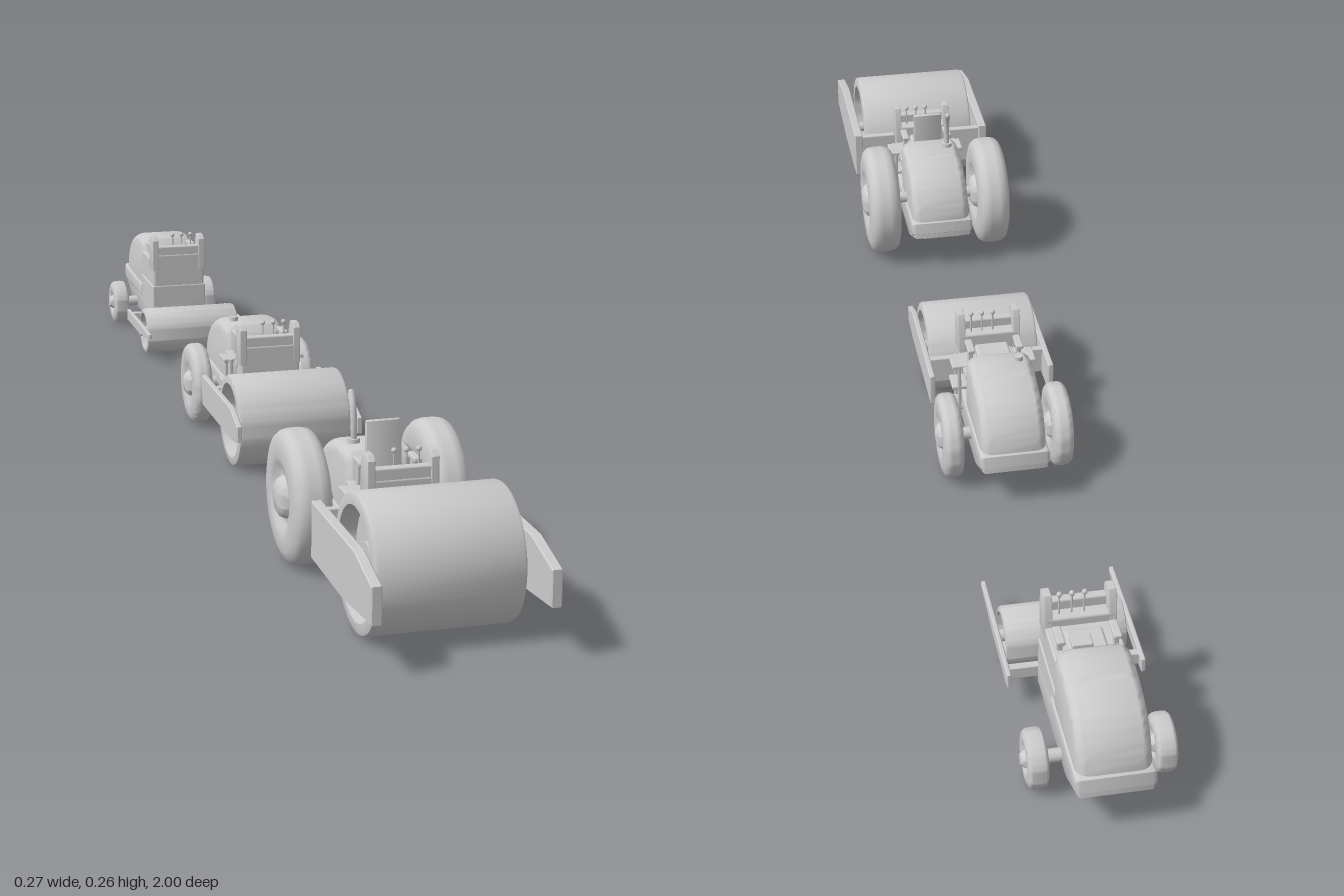
import * as THREE from 'three';
import { toCreasedNormals } from 'three/addons/utils/BufferGeometryUtils.js';
import { RoundedBoxGeometry } from 'three/addons/geometries/RoundedBoxGeometry.js';

const mat = new THREE.MeshStandardMaterial({ color: 0xcccccc, roughness: 0.7 });

function add(parent, name, geo, x = 0, y = 0, z = 0) {
  const m = new THREE.Mesh(geo, mat);
  m.name = name;
  m.position.set(x, y, z);
  parent.add(m);
  return m;
}

// Box given by its limits on each axis, with slightly softened edges
function block(parent, name, [x0, x1], [y0, y1], [z0, z1], r = 0.002) {
  const s = [x1 - x0, y1 - y0, z1 - z0];
  const geo = new RoundedBoxGeometry(...s, 2, Math.min(r, Math.min(...s) * 0.45));
  return add(parent, name, geo, (x0 + x1) / 2, (y0 + y1) / 2, (z0 + z1) / 2);
}

// Side profile in (z, y) extruded across x, centred, with a rounded bevel
function sideExtrude(points, width, bevel, segs = 2, smooth = false) {
  const shape = new THREE.Shape();
  shape.moveTo(...points[0]);
  if (smooth) {
    shape.lineTo(...points[1]);
    shape.splineThru(points.slice(2).map(p => new THREE.Vector2(...p)));
  } else points.slice(1).forEach(p => shape.lineTo(...p));
  shape.closePath();
  const geo = new THREE.ExtrudeGeometry(shape, {
    depth: width - 2 * bevel, bevelEnabled: true, bevelSize: bevel, bevelThickness: bevel,
    bevelOffset: -bevel, bevelSegments: segs, curveSegments: 5,
  });
  geo.translate(0, 0, -(width - 2 * bevel) / 2).rotateY(-Math.PI / 2);
  return toCreasedNormals(geo, 0.7);
}

// Profile of [radius, x] pairs turned around the x axis
function turned(points, segs = 56) {
  const geo = new THREE.LatheGeometry(points.map(p => new THREE.Vector2(...p)), segs);
  return toCreasedNormals(geo.rotateZ(-Math.PI / 2), 0.75);
}

// Drum with recessed ends
function drumGeometry(r, half) {
  const side = [[0, half - 0.025], [r * 0.78, half - 0.025], [r * 0.82, half],
    [r - 0.005, half], [r - 0.0015, half - 0.0015], [r, half - 0.005]];
  return turned([...side.map(([a, b]) => [a, -b]), ...side.reverse()]);
}

// Tyre with rounded shoulders, dished rim and bulging hub
function tyreGeometry(r, w) {
  const h = w / 2;
  const side = [[0, h + 0.006], [r * 0.2, h + 0.005], [r * 0.28, h], [r * 0.32, h * 0.72],
    [r * 0.42, h * 0.72], [r * 0.5, h * 0.94], [r * 0.6, h], [r * 0.8, h * 0.97],
    [r * 0.92, h * 0.84], [r * 0.98, h * 0.6], [r, h * 0.25]];
  return turned([...side.map(([a, b]) => [a, -b]), ...side.reverse()]);
}

// Drum, its yoke and axle
function drumUnit(g, c) {
  add(g, 'drum', drumGeometry(c.drum.r, c.drum.half), 0, c.drum.y, c.drum.z);
  const axle = new THREE.CylinderGeometry(0.009, 0.009, c.arm.x * 2, 20).rotateZ(Math.PI / 2);
  add(g, 'drumAxle', axle, 0, c.drum.y, c.drum.z);
  for (const s of [-1, 1]) {
    add(g, 'yokeArm', sideExtrude(c.arm.profile, c.arm.w, 0.0015, 1), s * c.arm.x, 0, 0);
    const cap = new THREE.CylinderGeometry(c.drum.r * 0.3, c.drum.r * 0.3, 0.012, 24);
    add(g, 'drumBearing', cap.rotateZ(Math.PI / 2), s * (c.drum.half - 0.02), c.drum.y, c.drum.z);
  }
  block(g, 'yokeCrossbar', [-c.arm.x, c.arm.x], c.arm.cross, [-0.004, 0.008]);
}

// Chassis, engine hood and bumper tray
function body(g, c) {
  add(g, 'chassis', sideExtrude(
    [[0, 0.03], [0, 0.07], [-0.274, 0.094], [-0.276, 0.066], [-0.2, 0.03]], 0.106, 0.004));
  add(g, 'bumperTray', sideExtrude(
    [[-0.1, 0.066], [-0.1, 0.092], [-0.274, 0.096], [-0.277, 0.076], [-0.262, 0.064]], 0.112, 0.005, 3));
  add(g, 'hood', sideExtrude([[-0.1, 0.06], [-0.1, 0.17], [-0.112, 0.181], [-0.145, 0.184],
    [-0.19, 0.177], [-0.232, 0.158], [-0.259, 0.125], [-0.269, 0.09], [-0.268, 0.06]], 0.106, 0.02, 5, true));
}

// Control panel, seat and levers
function cockpit(g, c) {
  block(g, 'controlPanel', [-0.05, 0.05], [0.06, 0.172], [-0.036, -0.001], 0.004);
  block(g, 'dashboard', [-0.044, 0.044], [0.165, 0.188], [-0.016, -0.002], 0.003);
  for (const s of [-1, 1]) {
    add(g, 'panelCheek', sideExtrude([[0, 0.14], [0, 0.2], [-0.008, 0.207], [-0.026, 0.207],
      [-0.034, 0.19], [-0.038, 0.14]], 0.012, 0.002), s * 0.046, 0, 0);
    block(g, 'armrest', [s * 0.04 - 0.006, s * 0.04 + 0.006], [0.173, 0.18], [-0.094, -0.058]);
    block(g, 'armrestPost', [s * 0.04 - 0.004, s * 0.04 + 0.004], [0.14, 0.175], [-0.085, -0.075]);
  }
  block(g, 'seatBase', [-0.034, 0.034], [0.06, 0.15], [-0.1, -0.045]);
  block(g, 'seatCushion', [-0.028, 0.028], [0.148, 0.163], [-0.094, -0.048], 0.005);
  for (const x of [-0.007, 0.011, 0.029]) {
    add(g, 'lever', new THREE.CylinderGeometry(0.0015, 0.0015, 0.035, 8), x, 0.188, -0.024);
    add(g, 'leverKnob', new THREE.SphereGeometry(0.0042, 12, 8), x, 0.206, -0.024);
  }
  // Solid column or open ladder steps beneath the seat
  if (c.column) {
    block(g, 'lowerColumn', [-0.053, 0.053], [0.03, 0.11], [-0.125, 0], 0.003);
    block(g, 'upperColumn', [-0.051, 0.051], [0.108, 0.158], [-0.125, -0.002], 0.003);
    block(g, 'seatBox', [-0.006, 0.024], [0.155, 0.17], [-0.092, -0.068]);
    return;
  }
  block(g, 'seatFloor', [-0.052, 0.052], [0.128, 0.14], [-0.105, -0.03]);
  for (const s of [-1, 1]) {
    const xs = [Math.min(s * 0.034, s * 0.07), Math.max(s * 0.034, s * 0.07)];
    for (const y of [0.055, 0.095, 0.135]) block(g, 'step', xs, [y, y + 0.007], [-0.08, -0.042]);
    for (const z of [-0.08, -0.045])
      block(g, 'stepRail', [s * 0.058 - 0.003, s * 0.058 + 0.003], [0.025, 0.142], [z, z + 0.006]);
  }
}

// Exhaust and optional backrest
function fittings(g, c) {
  if (c.backrest) {
    add(g, 'backrest', sideExtrude([[-0.086, 0.15], [-0.094, 0.228], [-0.102, 0.228], [-0.1, 0.15]], 0.052, 0.003));
    const path = new THREE.CatmullRomCurve3([[-0.03, 0.17, -0.142], [-0.03, 0.215, -0.142],
      [-0.03, 0.24, -0.147], [-0.03, 0.254, -0.156]].map(p => new THREE.Vector3(...p)));
    add(g, 'exhaustPipe', new THREE.TubeGeometry(path, 20, 0.0048, 12));
    add(g, 'exhaustTip', new THREE.SphereGeometry(0.0048, 12, 8), -0.03, 0.254, -0.156);
    add(g, 'exhaustCollar', new THREE.CylinderGeometry(0.009, 0.01, 0.012, 16), -0.03, 0.184, -0.142);
  } else if (!c.column) {
    add(g, 'exhaustStub', new THREE.CylinderGeometry(0.007, 0.008, 0.022, 16), -0.03, 0.18, -0.136);
  }
}

function roller(c) {
  const g = new THREE.Group();
  g.name = c.name;
  g.position.z = c.z;
  drumUnit(g, c);
  body(g, c);
  cockpit(g, c);
  fittings(g, c);
  const { r, x, w, z } = c.tyre;
  const tyre = tyreGeometry(r, w);
  for (const s of [-1, 1]) add(g, 'rearWheel', tyre, s * x, r, z);
  add(g, 'rearAxle', new THREE.CylinderGeometry(0.01, 0.01, 2 * x, 20).rotateZ(Math.PI / 2), 0, r, z);
  return g;
}

export function createModel() {
  const model = new THREE.Group();
  model.name = 'roadRollers';
  model.add(
    roller({
      name: 'largeRoller', z: 0.73, backrest: true,
      drum: { r: 0.097, half: 0.104, y: 0.099, z: 0.115 },
      arm: { x: 0.121, w: 0.015, cross: [0.07, 0.14],
        profile: [[-0.012, 0.064], [0.14, 0.062], [0.27, 0.074], [0.27, 0.126], [0.19, 0.147], [-0.012, 0.147]] },
      tyre: { r: 0.099, x: 0.102, w: 0.058, z: -0.174 },
    }),
    roller({
      name: 'mediumRoller', z: 0,
      drum: { r: 0.075, half: 0.093, y: 0.075, z: 0.09 },
      arm: { x: 0.1, w: 0.009, cross: [0.062, 0.108],
        profile: [[-0.06, 0.06], [0.14, 0.06], [0.19, 0.067], [0.19, 0.093], [0.14, 0.112], [-0.06, 0.112]] },
      tyre: { r: 0.069, x: 0.09, w: 0.034, z: -0.165 },
    }),
    roller({
      name: 'smallRoller', z: -0.722, column: true,
      drum: { r: 0.043, half: 0.09, y: 0.044, z: 0.088 },
      arm: { x: 0.098, w: 0.007, cross: [0.04, 0.06],
        profile: [[-0.02, 0.04], [0.1, 0.042], [0.192, 0.053], [0.192, 0.062], [0.1, 0.064], [-0.02, 0.062]] },
      tyre: { r: 0.042, x: 0.09, w: 0.03, z: -0.166 },
    }),
  );
  return model;
}
